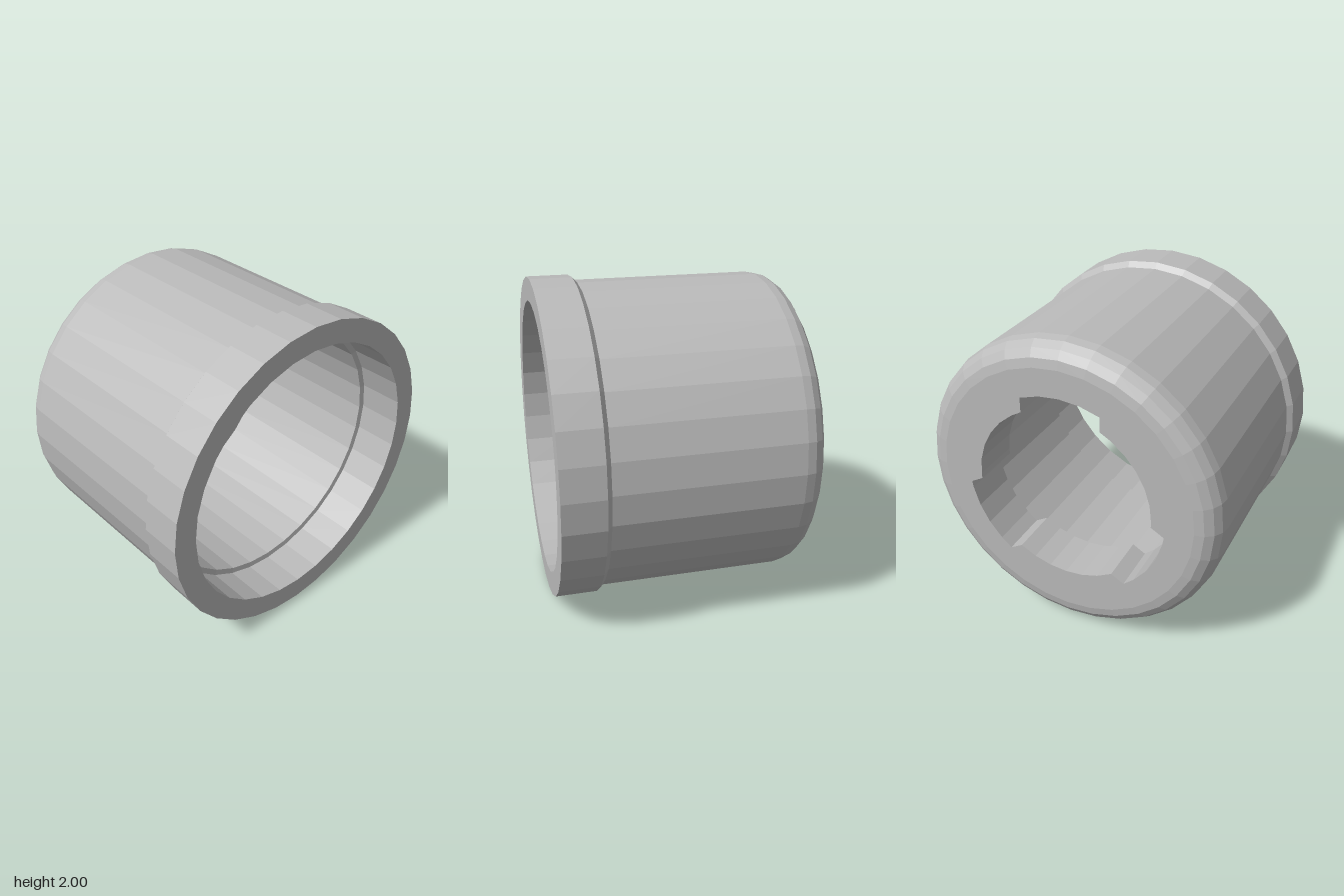
import * as THREE from 'three';

const SIDES = 32;
const BACK = -0.78, FRONT = 0.78, FLOOR = -0.47;
const BORE = 0.82, BODY = 0.966;

// Points of a regular polygon matching the lathe facets
function ring(radius) {
  return Array.from({ length: SIDES }, (_, i) => {
    const a = (i / SIDES) * Math.PI * 2;
    return new THREE.Vector2(radius * Math.cos(a), radius * Math.sin(a));
  });
}

// Round opening with three parallel-sided keyways, 120 degrees apart
function keyedHole(inner, outer, halfWidth) {
  const points = [];
  const aOut = Math.asin(halfWidth / outer);
  const aIn = Math.asin(halfWidth / inner);
  const step = (Math.PI * 2) / SIDES;
  const add = (r, a) => points.push(new THREE.Vector2(r * Math.cos(a), r * Math.sin(a)));
  const arc = (r, from, to) => {
    add(r, from);
    for (let k = Math.ceil(from / step + 0.1); k * step < to - 0.02; k++) add(r, k * step);
    add(r, to);
  };
  for (let i = 0; i < 3; i++) {
    const mid = Math.PI / 2 + (i * Math.PI * 2) / 3;
    arc(outer, mid - aOut, mid + aOut);
    arc(inner, mid + aIn, mid + (Math.PI * 2) / 3 - aIn);
  }
  return points;
}

export function createModel() {
  const group = new THREE.Group();
  group.name = 'keyedCap';
  const grey = new THREE.MeshStandardMaterial({ color: 0xbababa, flatShading: true });
  grey.name = 'grey';

  // Shell: rounded back edge, body, chamfered collar, front rim, stepped bore
  const profile = [];
  const round = BODY - BORE;
  for (let i = 0; i <= 4; i++) {
    const a = (i / 4) * Math.PI / 2;
    profile.push(new THREE.Vector2(BORE + round * Math.sin(a), BACK + round * (1 - Math.cos(a))));
  }
  [[BODY, 0.495], [1, 0.525], [1, FRONT], [0.855, FRONT], [0.855, 0.5], [BORE, 0.495], [BORE, FLOOR]]
    .forEach(([r, z]) => profile.push(new THREE.Vector2(r, z)));
  const shell = new THREE.Mesh(new THREE.LatheGeometry(profile, SIDES).rotateX(Math.PI / 2), grey);
  shell.name = 'shell';

  // Thick end wall with the keyed opening
  const wall = new THREE.Shape(ring(BORE));
  wall.holes.push(new THREE.Path(keyedHole(0.563, 0.648, 0.25)));
  const endWall = new THREE.Mesh(
    new THREE.ExtrudeGeometry(wall, { depth: FLOOR - BACK, bevelEnabled: false }), grey);
  endWall.position.z = BACK;
  endWall.name = 'endWall';

  group.add(shell, endWall);
  group.children.forEach((m) => { m.position.y = 1; });
  return group;
}
